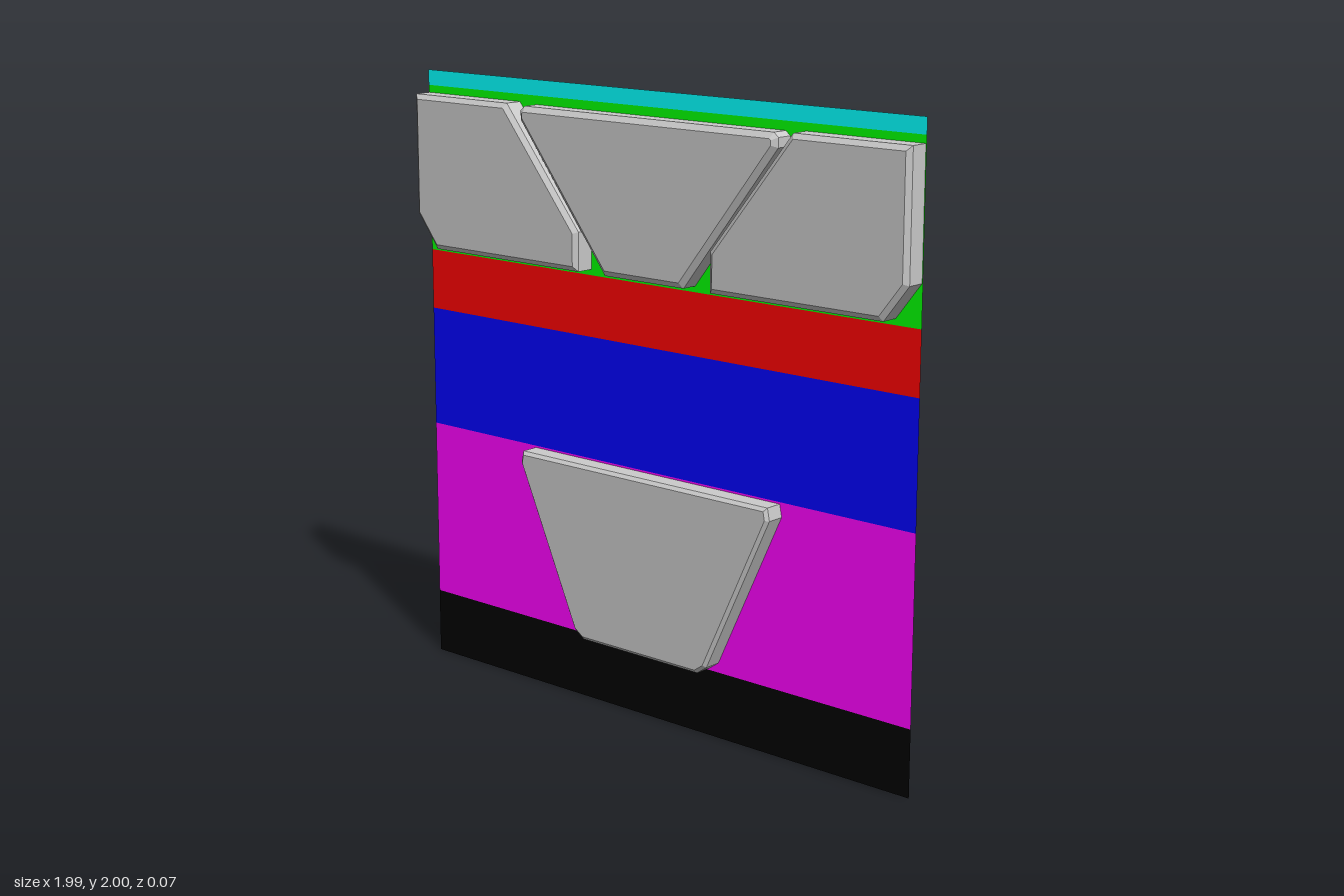
import * as THREE from 'three';

const HALF_WIDTH = 0.993;
const PANEL_Z = -0.034;

// Move each corner of a convex, counter-clockwise outline inwards by d
function inset(points, d) {
  const n = points.length;
  return points.map(([x, y], i) => {
    const [px, py] = points[(i + n - 1) % n];
    const [qx, qy] = points[(i + 1) % n];
    const a = new THREE.Vector2(py - y, x - px).normalize();
    const b = new THREE.Vector2(y - qy, qx - x).normalize();
    const k = d / (1 + a.dot(b));
    return [x + (a.x + b.x) * k, y + (a.y + b.y) * k];
  });
}

// Flat-backed slab with a chamfered front edge, built from three outlines
function slabGeometry(outline, back, front, bevel, depth) {
  const at = (pts, z) => pts.map(([x, y]) => [x, y, z]);
  const rings = [at(outline, back), at(outline, front - depth), at(inset(outline, bevel), front)];
  const n = outline.length;
  const pos = [];
  const tri = (a, b, c) => pos.push(...a, ...b, ...c);
  for (let r = 0; r < 2; r++) {
    for (let i = 0; i < n; i++) {
      const j = (i + 1) % n;
      tri(rings[r][i], rings[r][j], rings[r + 1][j]);
      tri(rings[r][i], rings[r + 1][j], rings[r + 1][i]);
    }
  }
  for (let i = 1; i < n - 1; i++) {
    tri(rings[2][0], rings[2][i], rings[2][i + 1]);
    tri(rings[0][0], rings[0][i + 1], rings[0][i]);
  }
  const geometry = new THREE.BufferGeometry();
  geometry.setAttribute('position', new THREE.Float32BufferAttribute(pos, 3));
  geometry.computeVertexNormals();
  return geometry;
}

export function createModel() {
  const group = new THREE.Group();
  const grey = new THREE.MeshStandardMaterial({ color: 0xcccccc, flatShading: true });

  // Thin coloured bands stacked into one upright sheet
  const bands = [
    ['blackBand', 0, 0.215, 0x000000],
    ['magentaBand', 0.215, 0.81, 0xff00ff],
    ['blueBand', 0.81, 1.207, 0x0000ff],
    ['redBand', 1.207, 1.405, 0xff0000],
    ['greenBand', 1.405, 1.95, 0x00ff00],
    ['cyanBand', 1.95, 2, 0x00ffff],
  ];
  for (const [name, y0, y1, color] of bands) {
    const band = new THREE.Mesh(
      new THREE.PlaneGeometry(2 * HALF_WIDTH, y1 - y0),
      new THREE.MeshStandardMaterial({ color, side: THREE.DoubleSide }),
    );
    band.name = name;
    band.position.set(0, (y0 + y1) / 2, PANEL_Z);
    group.add(band);
  }

  const addSlab = (name, outline, back, front, bevel, depth) => {
    const mesh = new THREE.Mesh(slabGeometry(outline, back, front, bevel, depth), grey);
    mesh.name = name;
    group.add(mesh);
  };

  // Upper side slabs, mirrored; their backs come through the sheet
  const side = [
    [0.99, 1.926], [0.574, 1.926], [0.268, 1.549],
    [0.268, 1.424], [0.903, 1.424], [0.99, 1.535],
  ];
  const mirrored = side.map(([x, y]) => [-x, y]).reverse();
  addSlab('upperLeftSlab', side, -0.037, 0.037, 0.016, 0.012);
  addSlab('upperRightSlab', mirrored, -0.037, 0.037, 0.016, 0.012);

  // Upper middle slab, tapering downwards
  addSlab('upperMiddleSlab', [
    [0.5, 1.922], [-0.5, 1.922], [-0.517, 1.908], [-0.517, 1.878],
    [-0.16, 1.424], [0.16, 1.424], [0.517, 1.878], [0.517, 1.908],
  ], -0.033, 0.035, 0.018, 0.014);

  // Lower slab
  addSlab('lowerSlab', [
    [0.498, 0.805], [-0.518, 0.805], [-0.526, 0.765], [-0.293, 0.248],
    [-0.255, 0.222], [0.227, 0.222], [0.264, 0.248], [0.506, 0.765],
  ], -0.031, 0.037, 0.011, 0.01);

  return group;
}
